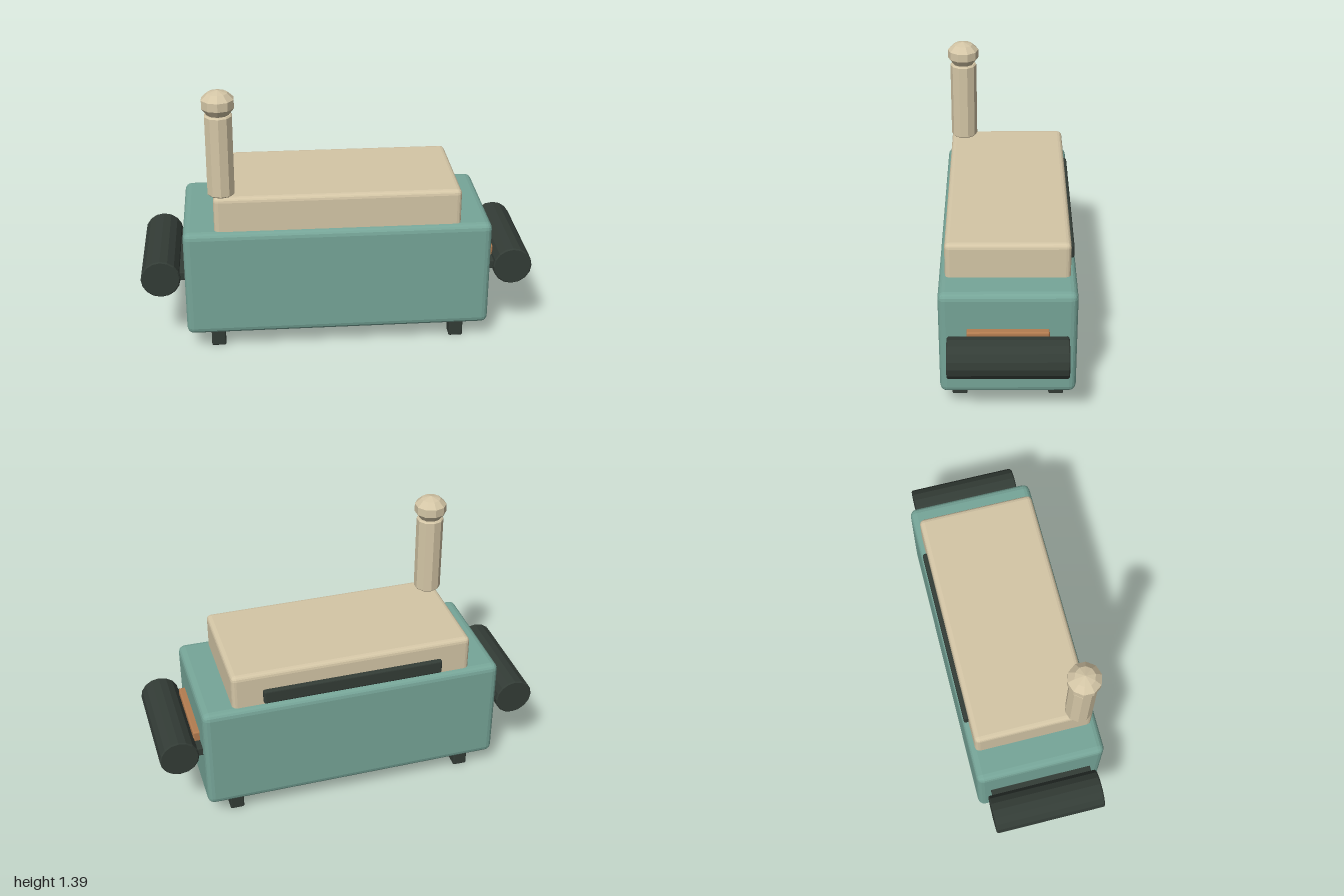
import * as THREE from 'three';
import { RoundedBoxGeometry } from 'three/addons/geometries/RoundedBoxGeometry.js';

export function createModel() {
  const model = new THREE.Group();
  const paint = (color) => new THREE.MeshStandardMaterial({ color, flatShading: true });
  const teal = paint(0x76a598);
  const cream = paint(0xd4c6a6);
  const dark = paint(0x333c36);
  const copper = paint(0xb37c50);

  function add(name, geometry, material, x, y, z) {
    const mesh = new THREE.Mesh(geometry, material);
    mesh.name = name;
    mesh.position.set(x, y, z);
    model.add(mesh);
    return mesh;
  }
  const box = (w, h, d, r) => new RoundedBoxGeometry(w, h, d, 2, r);

  // Faceted turned part from [radius, height] pairs
  const turned = (points, sides) =>
    new THREE.LatheGeometry(points.map(([r, y]) => new THREE.Vector2(r, y)), sides);

  // Rod with a small bevel at both ends, centred on its length
  const rod = (r, length, bevel, sides) => {
    const h = length / 2;
    return turned([[0, -h], [r - bevel, -h], [r, -h + bevel], [r, h - bevel], [r - bevel, h], [0, h]], sides);
  };

  // Main casing and raised lid
  add('body', box(1.555, 0.57, 0.665, 0.035), teal, 0, 0.385, 0);
  add('lid', box(1.24, 0.24, 0.605, 0.025), cream, 0, 0.73, 0);

  // Dark strip along the back of the lid
  add('backStrip', box(0.93, 0.075, 0.04, 0.01), dark, 0, 0.718, -0.305);

  // Chimney with faceted cap
  add('chimney', rod(0.07, 0.42, 0.007, 10), cream, -0.578, 1.06, 0.235);
  add('chimneyCap', turned([
    [0, 0], [0.055, 0], [0.082, 0.035], [0.082, 0.078], [0.05, 0.108], [0, 0.122],
  ], 10), cream, -0.578, 1.27, 0.235);

  // Roller and its mounting bar at each end
  for (const side of [-1, 1]) {
    const roller = add('roller', rod(0.1, 0.575, 0.006, 16), dark, side * 0.9, 0.405, 0);
    roller.rotation.x = Math.PI / 2;
    add('rollerMount', box(0.1, 0.045, 0.53, 0.005), dark, side * 0.81, 0.407, 0);

    // Feet
    for (const end of [-1, 1]) {
      add('foot', box(0.073, 0.105, 0.075, 0.008), dark, side * 0.62, 0.0525, end * 0.24);
    }
  }

  // Copper plate above the left mount
  add('endPlate', box(0.05, 0.06, 0.395, 0.008), copper, 0.786, 0.452, 0);

  return model;
}
